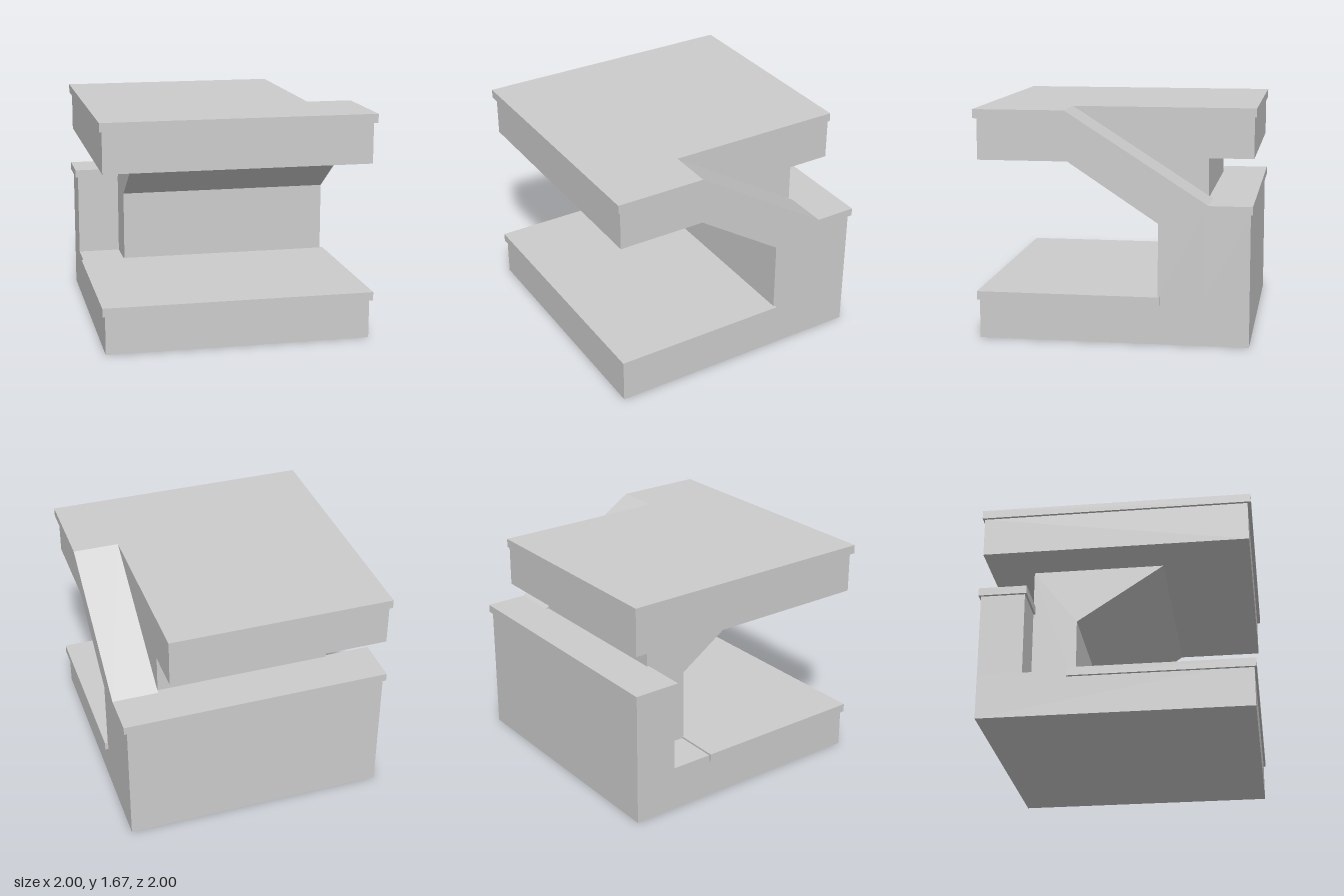
import * as THREE from 'three';

const material = new THREE.MeshStandardMaterial({ color: 0xcccccc, flatShading: true });

const outline = (points) => new THREE.Shape(points.map(([a, b]) => new THREE.Vector2(a, b)));

function addMesh(group, name, geometry) {
  const mesh = new THREE.Mesh(geometry, material);
  mesh.name = name;
  group.add(mesh);
}

// Block between two corners
function box(group, name, [x0, y0, z0], [x1, y1, z1]) {
  const geometry = new THREE.BoxGeometry(x1 - x0, y1 - y0, z1 - z0);
  geometry.translate((x0 + x1) / 2, (y0 + y1) / 2, (z0 + z1) / 2);
  addMesh(group, name, geometry);
}

// Side profile of (z, y) points, extruded across the width
function sideProfile(group, name, points, x0, x1) {
  const geometry = new THREE.ExtrudeGeometry(outline(points), { depth: x1 - x0, bevelEnabled: false });
  geometry.rotateY(-Math.PI / 2).translate(x1, 0, 0);
  addMesh(group, name, geometry);
}

// Floor plan of (x, z) points, extruded upwards
function floorPlan(group, name, points, y0, y1) {
  const shape = outline(points.map(([x, z]) => [x, -z]));
  const geometry = new THREE.ExtrudeGeometry(shape, { depth: y1 - y0, bevelEnabled: false });
  geometry.rotateX(-Math.PI / 2).translate(0, y0, 0);
  addMesh(group, name, geometry);
}

// Rectangle with its back corner on the +x side cut out for the ramp
const notched = (x0, x1, z0, z1, cutX, cutZ) =>
  [[x0, z1], [x1, z1], [x1, cutZ], [cutX, cutZ], [cutX, z0], [x0, z0]];

export function createModel() {
  const group = new THREE.Group();
  group.name = 'splitLevelPlatform';

  // Lower level
  box(group, 'base', [-0.98, 0, -0.985], [0.975, 0.335, 0.975]);
  box(group, 'lowerDeck', [-1, 0.287, -0.342], [1, 0.35, 0.99]);

  // Middle level along the back
  box(group, 'backBlock', [-0.98, 0.335, -0.985], [0.975, 0.96, -0.66]);
  box(group, 'middleDeck', [-1, 0.96, -1], [0.66, 1.02, -0.645]);

  // Central wall, leaning forward under the upper level
  sideProfile(group, 'centralWall',
    [[-0.66, 0.335], [-0.33, 0.335], [-0.33, 0.88], [0.32, 1.31], [-0.66, 1.31]], -0.655, 0.655);

  // Ramp from the middle level to the upper level
  sideProfile(group, 'rampBody',
    [[-0.66, 0.335], [-0.33, 0.335], [-0.33, 0.88], [0.32, 1.31], [0.32, 1.6], [-0.66, 0.96]], 0.655, 0.975);
  sideProfile(group, 'rampDeck',
    [[-1, 0.96], [-0.66, 0.96], [0.335, 1.61], [0.335, 1.675], [-0.69, 1.02], [-1, 1.02]], 0.66, 1);

  // Upper level
  floorPlan(group, 'upperSlab', notched(-0.98, 0.975, -0.985, 0.975, 0.655, 0.32), 1.31, 1.61);
  floorPlan(group, 'upperDeck', notched(-1, 1, -1, 1, 0.66, 0.335), 1.61, 1.675);

  return group;
}
